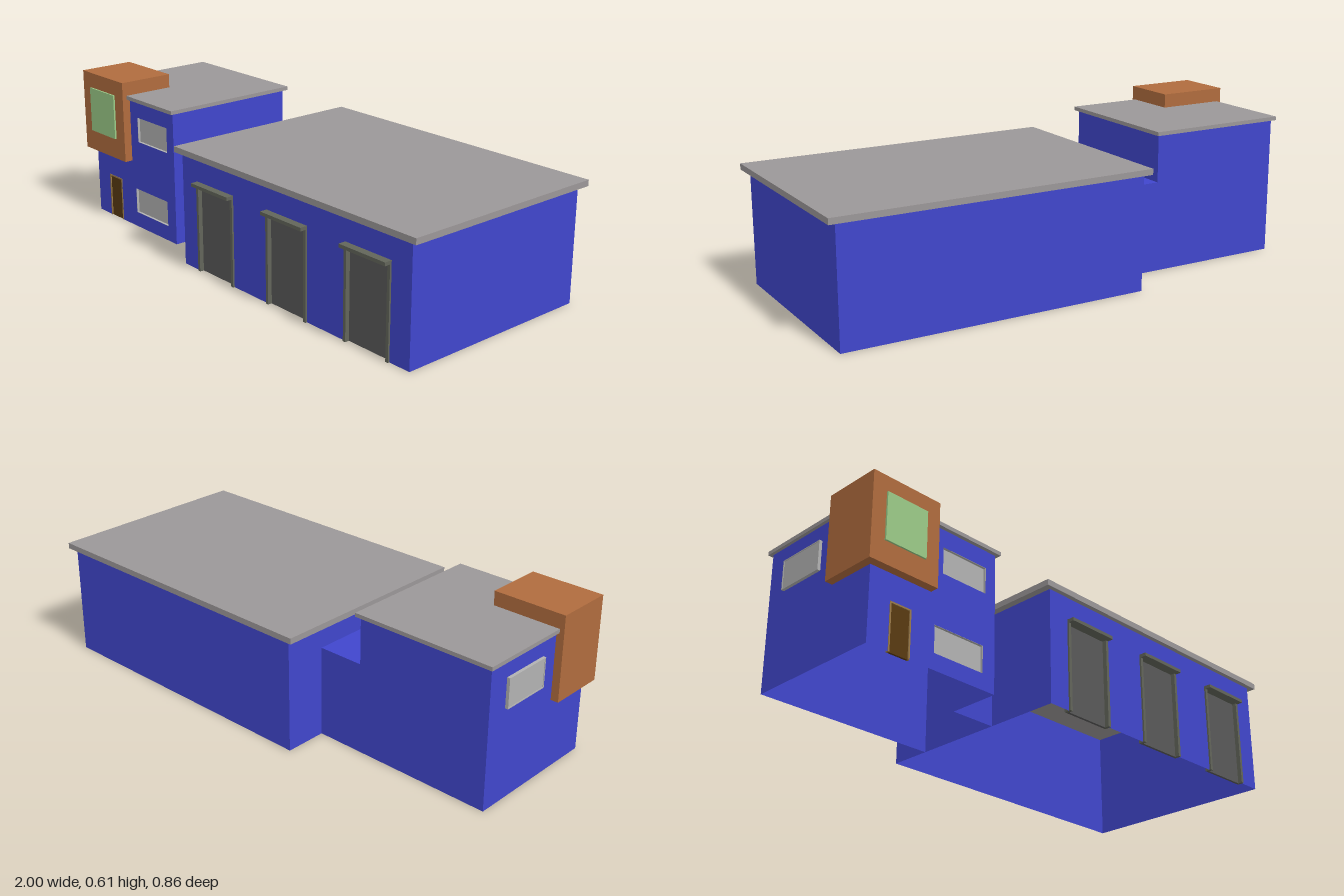
import * as THREE from 'three';

const mat = (color) => new THREE.MeshStandardMaterial({ color, side: THREE.DoubleSide, flatShading: true });
const WALL = mat(0x4046cc), ROOF = mat(0x9b9798), ORANGE = mat(0xb06c3e), GREEN = mat(0x9ccb88);
const GLASS = mat(0xb2b2b2), SHUTTER = mat(0x595959), FRAME = mat(0x62655a), WOOD = mat(0x593a12), TRIM = mat(0x9a7a48);

const rectPoints = ([a, b, c, d]) => [[a, c], [b, c], [b, d], [a, d]].map(([x, y]) => new THREE.Vector2(x, y));

export function createModel() {
  const model = new THREE.Group();

  const add = (parent, name, geometry, material) => {
    const mesh = new THREE.Mesh(geometry, material);
    mesh.name = name;
    parent.add(mesh);
    return mesh;
  };
  const group = (name) => {
    const g = new THREE.Group();
    g.name = name;
    model.add(g);
    return g;
  };
  // box from its limits
  const box = (parent, name, material, x0, x1, y0, y1, z0, z1) => {
    const m = add(parent, name, new THREE.BoxGeometry(x1 - x0, y1 - y0, z1 - z0), material);
    m.position.set((x0 + x1) / 2, (y0 + y1) / 2, (z0 + z1) / 2);
    return m;
  };
  // thin sheet facing z, or facing x when side is set; outline is a point list
  const sheet = (parent, name, material, outline, at, holes = [], side = false) => {
    const shape = new THREE.Shape(outline.map(([u, v]) => new THREE.Vector2(u, v)));
    holes.forEach((h) => shape.holes.push(new THREE.Path(rectPoints(h))));
    const m = add(parent, name, new THREE.ShapeGeometry(shape), material);
    if (side) { m.geometry.rotateY(-Math.PI / 2); m.position.x = at; } else m.position.z = at;
    return m;
  };
  const rect = (u0, u1, v0, v1) => [[u0, v0], [u1, v0], [u1, v1], [u0, v1]];
  // recessed pane with a slim reveal, set behind an opening
  const windowUnit = (name, opening, at, side = false) => {
    const g = group(name), [a, b, c, d] = opening, t = 0.004;
    const ring = new THREE.Shape(rectPoints([a - t, b + t, c - t, d + t]));
    ring.holes.push(new THREE.Path(rectPoints(opening)));
    add(g, 'windowReveal', new THREE.ExtrudeGeometry(ring, { depth: 0.012, bevelEnabled: false }), GLASS).position.z = -0.013;
    sheet(g, 'windowPane', GLASS, rect(a, b, c, d), -0.011);
    if (side) { g.rotation.y = -Math.PI / 2; g.scale.z = -1; g.position.x = at; } else g.position.z = at;
  };

  // main hall, open underneath
  const hall = group('hall');
  const doorXs = [-0.033, 0.37, 0.773], half = 0.107, doorTop = 0.355;
  const front = [[-0.23, 0]];
  doorXs.forEach((x) => front.push([x - half, 0], [x - half, doorTop], [x + half, doorTop], [x + half, 0]));
  front.push([0.97, 0], [0.97, 0.445], [-0.23, 0.445]);
  sheet(hall, 'hallFrontWall', WALL, front, 0.4);
  sheet(hall, 'hallBackWall', WALL, rect(-0.23, 0.97, 0, 0.445), -0.412);
  for (const x of [-0.23, 0.97]) sheet(hall, 'hallEndWall', WALL, rect(-0.412, 0.4, 0, 0.445), x, [], true);
  box(hall, 'hallRoof', ROOF, -0.257, 1, 0.445, 0.468, -0.43, 0.418);

  // garage doors with jambs and a projecting head
  for (const x of doorXs) {
    const g = group('garageDoor');
    box(g, 'garageDoorPanel', SHUTTER, x - half + 0.01, x + half - 0.01, 0, 0.342, 0.38, 0.39);
    for (const s of [-1, 1]) box(g, 'garageDoorJamb', FRAME, x + s * (half - 0.006) - 0.006, x + s * (half - 0.006) + 0.006, 0, 0.342, 0.38, 0.407);
    box(g, 'garageDoorHead', FRAME, x - half, x + half, 0.342, doorTop, 0.38, 0.43);
  }

  // two-storey tower, cut away where the bay and the link join it
  const tower = group('tower');
  const upper = [-0.66, -0.46, 0.37, 0.472], lower = [-0.69, -0.47, 0.062, 0.165], sideOpening = [-0.155, 0.04, 0.365, 0.472];
  sheet(tower, 'towerFrontWall', WALL,
    [[-0.97, 0], [-0.883, 0], [-0.883, 0.18], [-0.793, 0.18], [-0.793, 0], [-0.415, 0], [-0.415, 0.542], [-0.71, 0.542], [-0.71, 0.28], [-0.97, 0.28]],
    0.31, [upper, lower]);
  sheet(tower, 'towerBackWall', WALL, rect(-0.97, -0.415, 0, 0.542), -0.245);
  sheet(tower, 'towerOuterWall', WALL, [[-0.245, 0], [0.31, 0], [0.31, 0.28], [0.115, 0.28], [0.115, 0.542], [-0.245, 0.542]], -0.97, [sideOpening], true);
  sheet(tower, 'towerInnerWall', WALL, [[0.11, 0], [0.31, 0], [0.31, 0.542], [-0.245, 0.542], [-0.245, 0.355], [0.11, 0.355]], -0.415, [], true);
  box(tower, 'towerRoof', ROOF, -0.982, -0.402, 0.54, 0.555, -0.26, 0.325);
  windowUnit('upperWindow', upper, 0.31);
  windowUnit('lowerWindow', lower, 0.31);
  windowUnit('sideWindow', sideOpening, -0.97, true);

  // entrance door
  const entrance = group('entranceDoor');
  box(entrance, 'entrancePanel', WOOD, -0.877, -0.799, 0, 0.174, 0.3, 0.308);
  for (const x of [-0.883, -0.799]) box(entrance, 'entranceJamb', TRIM, x, x + 0.006, 0, 0.174, 0.3, 0.312);
  box(entrance, 'entranceHead', TRIM, -0.883, -0.793, 0.174, 0.18, 0.3, 0.312);

  // low link between tower and hall
  const link = group('link');
  for (const z of [-0.245, 0.11]) sheet(link, 'linkWall', WALL, rect(-0.415, -0.23, 0, 0.355), z);
  const linkRoof = add(link, 'linkRoof', new THREE.PlaneGeometry(0.185, 0.355), WALL);
  linkRoof.rotation.x = -Math.PI / 2;
  linkRoof.position.set(-0.3225, 0.355, -0.0675);

  // corner bay, hollow and open towards the tower
  const bay = group('cornerBay');
  const bayOpening = [-0.943, -0.769, 0.365, 0.548];
  sheet(bay, 'bayFront', ORANGE, rect(-1, -0.71, 0.28, 0.61), 0.343, [bayOpening]);
  sheet(bay, 'bayOuterSide', ORANGE, rect(0.115, 0.343, 0.28, 0.61), -1, [], true);
  sheet(bay, 'bayInnerSide', ORANGE, [[0.31, 0.28], [0.343, 0.28], [0.343, 0.61], [0.115, 0.61], [0.115, 0.545], [0.31, 0.545]], -0.71, [], true);
  sheet(bay, 'bayBack', ORANGE, [[-1, 0.28], [-0.97, 0.28], [-0.97, 0.545], [-0.71, 0.545], [-0.71, 0.61], [-1, 0.61]], 0.115);
  const slab = (name, y, points) => {
    const m = sheet(bay, name, ORANGE, points.map(([x, z]) => [x, -z]), 0);
    m.rotation.x = -Math.PI / 2;
    m.position.y = y;
  };
  slab('bayTop', 0.61, [[-1, 0.343], [-0.71, 0.343], [-0.71, 0.115], [-1, 0.115]]);
  slab('bayFloor', 0.28, [[-1, 0.343], [-0.71, 0.343], [-0.71, 0.31], [-0.97, 0.31], [-0.97, 0.115], [-1, 0.115]]);
  box(bay, 'bayWindow', GREEN, ...bayOpening, 0.338, 0.35);

  return model;
}
